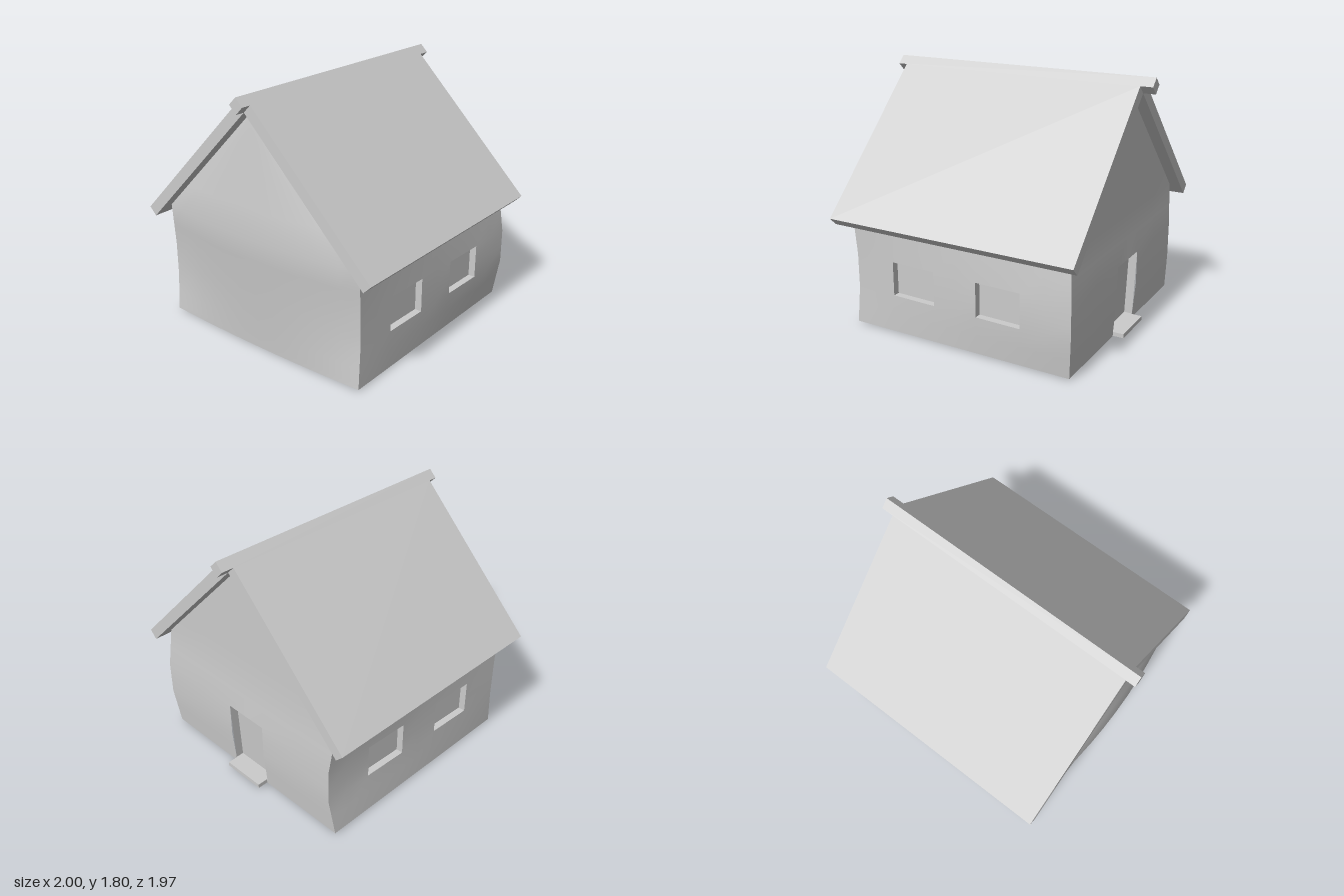
import * as THREE from 'three';
import { toCreasedNormals } from 'three/addons/utils/BufferGeometryUtils.js';

const BASE = 0.012, EAVE = 0.845, APEX = 1.69, HALF = 0.843;
const X_MIN = -0.855, X_MAX = 0.83;
const clamp = THREE.MathUtils.clamp;

// Uneven hand-built look: the walls lean and swell around mid height.
function warp(x, y, z) {
  const mid = y < 0.285 ? (y - BASE) / (0.285 - BASE) : 1 - (y - 0.53) / (EAVE - 0.53);
  const b = clamp(mid, 0, 1);
  const half = HALF * Math.min(1, (APEX - y) / (APEX - EAVE));
  const across = half > 1e-6 ? 1 - (z / half) ** 2 : 1;
  const leftEnd = clamp((-0.5 - x) / 0.35, 0, 1);
  // the plain gable end bellies out, most of all at eave height
  const belly = y < EAVE
    ? 0.01 + 0.08 * Math.min(1, y / EAVE) + 0.02 * b
    : 0.09 * (APEX - y) / (APEX - EAVE);
  return new THREE.Vector3(
    x + 0.024 * b - belly * across * leftEnd,
    y - (y < 0.02 ? 0.012 * across * leftEnd : 0),
    z + b * (0.016 + 0.022 * x / 0.84) * Math.min(1, (z / HALF) ** 2)
  );
}

// Grid panel (u to the right, v up, seen from outside) with recessed pockets.
// holes: [u0, u1, v0, v1]; inward: vector from the surface to the pocket back.
function panel(us, vs, place, holes = [], inward = new THREE.Vector3()) {
  const pos = [];
  const tri = (...pts) => pts.forEach(p => pos.push(p.x, p.y, p.z));
  const quad = (a, b, c, d) => {
    tri(a, b, c);
    if (c.distanceTo(d) > 1e-5) tri(a, c, d);
  };
  for (let i = 0; i < us.length - 1; i++) {
    for (let j = 0; j < vs.length - 1; j++) {
      const um = (us[i] + us[i + 1]) / 2, vm = (vs[j] + vs[j + 1]) / 2;
      if (holes.some(([a, b, c, d]) => um > a && um < b && vm > c && vm < d)) continue;
      quad(place(us[i], vs[j]), place(us[i + 1], vs[j]),
        place(us[i + 1], vs[j + 1]), place(us[i], vs[j + 1]));
    }
  }
  for (const [a, b, c, d] of holes) {
    const outer = [place(a, c), place(b, c), place(b, d), place(a, d)];
    const inner = outer.map(p => p.clone().add(inward));
    for (let k = 0; k < 4; k++) {
      const n = (k + 1) % 4;
      quad(outer[k], outer[n], inner[n], inner[k]);
    }
    quad(...inner);
  }
  const geo = new THREE.BufferGeometry();
  geo.setAttribute('position', new THREE.Float32BufferAttribute(pos, 3));
  return toCreasedNormals(geo, 0.7);
}

const steps = (a, b, n) => Array.from({ length: n + 1 }, (_, i) => a + (b - a) * i / n);

export function createModel() {
  const group = new THREE.Group();
  const material = new THREE.MeshStandardMaterial({ color: 0xcccccc });
  const add = (name, geo) => {
    const mesh = new THREE.Mesh(geo, material);
    mesh.name = name;
    group.add(mesh);
    return mesh;
  };

  // Long walls, each with two recessed windows
  const wallRows = [BASE, 0.15, 0.285, 0.4, 0.53, 0.69, EAVE];
  const wallCols = [X_MIN, -0.7, -0.545, -0.205, -0.03, 0.13, 0.465, 0.65, X_MAX];
  const windows = [[-0.545, -0.205, 0.285, 0.53], [0.13, 0.465, 0.285, 0.53]];
  add('frontWall', panel(wallCols, wallRows, (u, v) => warp(u, v, HALF),
    windows, new THREE.Vector3(0, 0, -0.05)));
  add('backWall', panel(wallCols.map(x => -x).reverse(), wallRows, (u, v) => warp(-u, v, -HALF),
    windows.map(([a, b, c, d]) => [-b, -a, c, d]), new THREE.Vector3(0, 0, 0.05)));

  // Gable walls, narrowing to the ridge above the eaves; the right one has the door
  const taper = y => Math.min(1, (APEX - y) / (APEX - EAVE));
  const gableRows = [BASE, 0.045, 0.15, 0.285, 0.4, 0.53, 0.69, EAVE, 1.05, 1.26, 1.48, APEX];
  add('doorGableWall', panel([-HALF, -0.5, -0.172, 0, 0.168, 0.5, HALF], gableRows,
    (u, v) => warp(X_MAX, v, -u * taper(v)),
    [[-0.172, 0.168, 0.045, 0.53]], new THREE.Vector3(-0.06, 0, 0)));
  add('plainGableWall', panel(steps(-HALF, HALF, 12), gableRows,
    (u, v) => warp(X_MIN, v, u * taper(v))));

  // Underside
  add('floor', panel([X_MIN, -0.68, -0.5, X_MAX], steps(-HALF, HALF, 12),
    (u, v) => warp(u, BASE, v)));

  // Doorstep
  add('doorstep', new THREE.BoxGeometry(0.14, 0.03, 0.33)).position.set(0.84, 0.03, 0.003);

  // Roof slopes and the longer ridge beam, all turned 45 degrees
  const thick = 0.078;
  for (const [name, s] of [['frontRoof', 1], ['backRoof', -1]]) {
    const slab = add(name, new THREE.BoxGeometry(1.845, thick, 1.317));
    slab.position.set(-0.01, 1.255, 0.492 * s);
    slab.rotation.x = s * Math.PI / 4;
  }
  const ridge = add('ridgeBeam', new THREE.BoxGeometry(2, thick, thick));
  ridge.position.y = 1.747;
  ridge.rotation.x = Math.PI / 4;

  return group;
}
